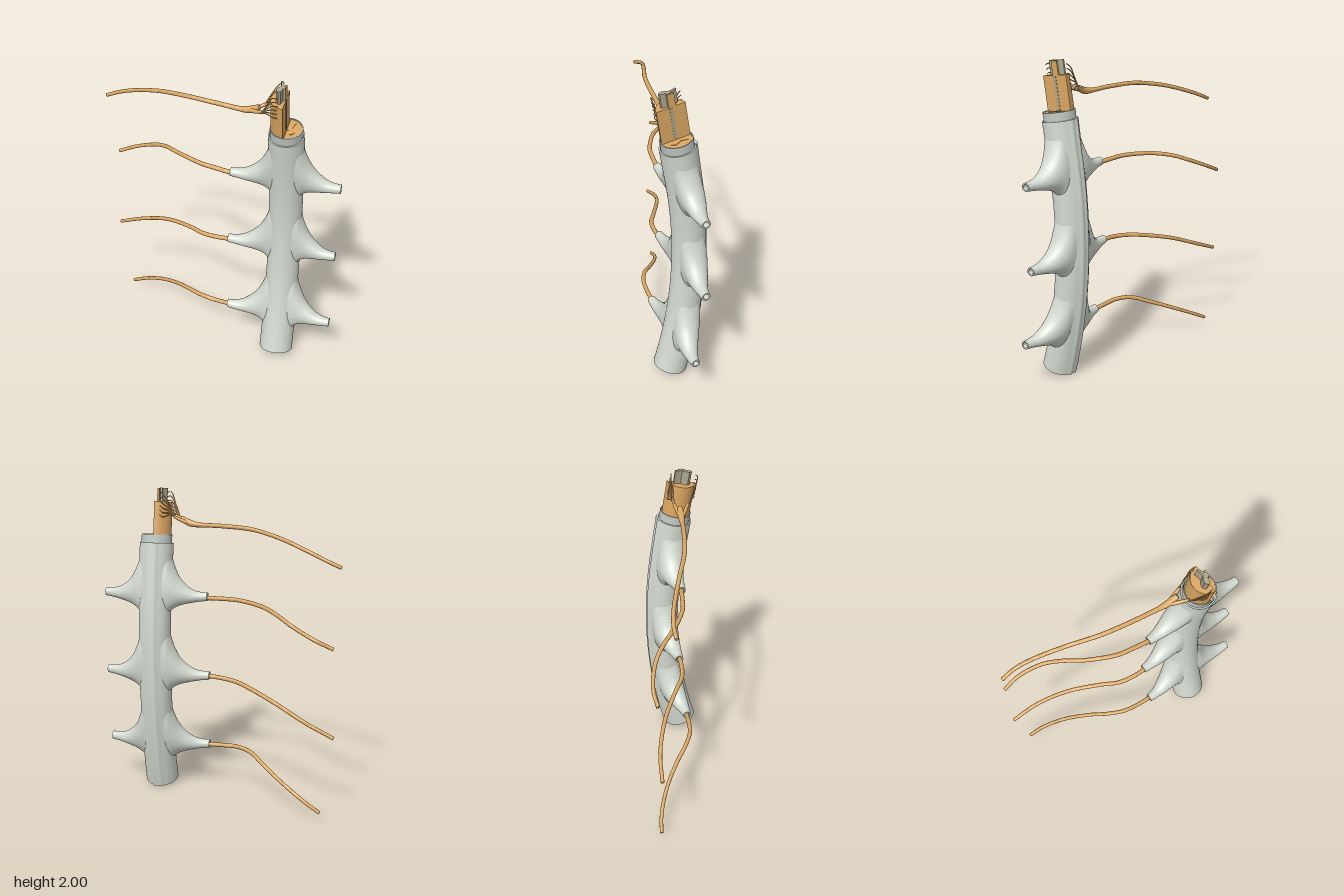
import * as THREE from 'three';
import { mergeGeometries, toCreasedNormals } from 'three/addons/utils/BufferGeometryUtils.js';

const V2 = (x, y) => new THREE.Vector2(x, y);
const V3 = (x, y, z) => new THREE.Vector3(x, y, z);
const mat = (name, color) => Object.assign(new THREE.MeshStandardMaterial({ color, side: THREE.DoubleSide }), { name });

const CX = 0.435; // x of the cord axis

// Gently bowed axis: depth and slope at height y
const axisZ = y => (y < 1.4 ? 0.025 + 0.158 * (y - 0.9) ** 2 : 0.0645 + 0.158 * (y - 1.4));
const slope = y => (y < 1.4 ? 0.316 * (y - 0.9) : 0.158);
function onAxis(y, u, v) {
  const m = slope(y), l = Math.hypot(1, m);
  return V3(CX + u, y - (m * v) / l, axisZ(y) + v / l);
}

// Sweep a 2D outline through n + 1 stations, optionally closing the ends
function loft(outline, n, place, caps = true) {
  const k = outline.length, pos = [], idx = [];
  for (let i = 0; i <= n; i++) for (const p of outline) pos.push(...place(i, p).toArray());
  for (let i = 0; i < n; i++) {
    for (let j = 0; j < k; j++) {
      const a = i * k + j, b = i * k + ((j + 1) % k), c = a + k, d = b + k;
      idx.push(a, c, b, b, c, d);
    }
  }
  if (caps) {
    for (const [a, b, c] of THREE.ShapeUtils.triangulateShape(outline, [])) {
      idx.push(a, b, c, n * k + a, n * k + c, n * k + b);
    }
  }
  const g = new THREE.BufferGeometry();
  g.setAttribute('position', new THREE.Float32BufferAttribute(pos, 3));
  g.setIndex(idx);
  return toCreasedNormals(g, 0.7);
}

const arc = (r, a0, a1, n, closed) => Array.from({ length: closed ? n : n + 1 }, (_, i) => {
  const a = a0 + ((a1 - a0) * i) / n;
  return V2(r * Math.cos(a), r * Math.sin(a));
});
const circle = n => arc(1, 0, Math.PI * 2, n, true);

// Prism following the axis between two heights
const column = (outline, y0, y1, n) => loft(outline, n, (i, p) => onAxis(y0 + ((y1 - y0) * i) / n, p.x, p.y));

// Hollow tube following the axis, with a twin ridge down its back
function sleeve(y0, y1, radius, wall, ridge) {
  const n = 40;
  const outline = arc(1, 0, Math.PI * 2, 72, true);
  const bump = p => {
    const a = Math.atan2(p.x, -p.y);
    return ridge * (Math.exp(-(((a - 0.2) / 0.13) ** 2)) + Math.exp(-(((a + 0.2) / 0.13) ** 2)));
  };
  return loft(outline, 2 * n + 1, (i, p) => {
    const inner = i > n;
    const t = (inner ? 2 * n + 1 - i : i) / n;
    const r = radius(t) + (inner ? -wall : bump(p));
    return onAxis(y0 + (y1 - y0) * t, p.x * r, p.y * r);
  }, false);
}

// Smooth strand along a path, with a radius rule
function strand(points, radius, n = 48, sides = 12) {
  const curve = new THREE.CatmullRomCurve3(points.map(p => V3(...p)));
  const { normals, binormals } = curve.computeFrenetFrames(n, false);
  return loft(circle(sides), n, (i, p) => {
    const r = typeof radius === 'function' ? radius(i / n) : radius;
    return curve.getPointAt(i / n).addScaledVector(binormals[i], p.x * r).addScaledVector(normals[i], p.y * r);
  });
}

// Flared side branch of the sheath, ending in an open cuff
const flareEdge = new THREE.CatmullRomCurve3([ // distance out, lower edge, upper edge
  V3(0.06, -0.16, 0.37), V3(0.09, -0.12, 0.285), V3(0.115, -0.088, 0.2), V3(0.165, -0.06, 0.103),
  V3(0.24, -0.042, 0.042), V3(0.29, -0.033, 0.029), V3(0.34, -0.027, 0.027)]);
const flareDepth = new THREE.CatmullRomCurve3([0.086, 0.083, 0.079, 0.067, 0.046, 0.034, 0.027].map(d => V3(d, 0, 0)));
function flare(side, y, tipZ, reach) {
  const n = 30;
  return loft(circle(32), n + 2, (i, p) => {
    const t = Math.min(i / n, 1);
    const e = flareEdge.getPoint(t);
    const wall = i > n ? 0.009 : 0;
    const d = e.x * (reach / 0.34) - (i === n + 2 ? 0.06 : 0);
    const py = y + (e.y + e.z) / 2 + ((e.z - e.y) / 2 - wall) * p.y;
    const k = THREE.MathUtils.smoothstep(e.x, 0.06, 0.34);
    const zc = THREE.MathUtils.lerp(axisZ(py), tipZ, k);
    return V3(CX + side * d, py, zc + side * p.x * (flareDepth.getPoint(t).x - wall));
  }, false);
}

export function createModel() {
  const group = new THREE.Group();
  const sheathMat = mat('pale sheath', 0xd3dad0);
  const liningMat = mat('grey lining', 0xc0c7c1);
  const nerveMat = mat('tan nerve', 0xd9a560);
  const coreMat = mat('grey core', 0xaaa48c);
  const add = (name, geometry, material) => {
    const mesh = new THREE.Mesh(geometry, material);
    mesh.name = name;
    group.add(mesh);
  };

  // Outer sheath and the inner lining showing above it
  add('sheath', sleeve(0.03, 1.65, t => 0.103 + 0.02 * (t - 0.5) ** 2, 0.009, 0.009), sheathMat);
  add('lining', sleeve(0.034, 1.702, () => 0.097, 0.006, 0), liningMat);

  // Side branches: height, tip depth, reach
  for (const [y, z, reach] of [[1.32, 0.08, 0.34], [0.8, 0.065, 0.335], [0.305, 0.125, 0.34]]) {
    add('leftBranch', flare(1, y, z, reach), sheathMat);
    add('rightBranch', flare(-1, y, z, reach + (y === 0.8 ? 0.02 : 0)), sheathMat);
  }

  // Two halves of the cord, the right one cut higher
  const R = 0.089, H = Math.PI / 2;
  const half = side => arc(R, side > 0 ? -H : H, side > 0 ? H : 3 * H, 28, false).map(p => V2(p.x + side * 0.003, p.y));
  add('rightCord', column(half(-1), 0.04, 1.905, 44), nerveMat);
  add('leftCord', column(half(1), 0.04, 1.698, 44), nerveMat);

  // Horned core, standing out of the right half and flush in the cut faces
  const horn = side => {
    const pts = [[0.005, 0.012], [0.018, 0.014], [0.024, 0.046], [0.038, 0.05], [0.053, 0.032], [0.047, 0.008],
      [0.033, -0.008], [0.037, -0.035], [0.045, -0.055], [0.032, -0.056], [0.02, -0.028], [0.015, -0.012], [0.005, -0.01]];
    const out = pts.map(([x, y]) => V2(side * x, y));
    return side < 0 ? out : out.reverse();
  };
  add('core', column(horn(-1), 1.9, 1.99, 4), coreMat);
  add('leftCoreFace', column(horn(1), 1.695, 1.701, 1), nerveMat);
  for (const s of [-1, 1]) add('bottomCoreFace', column(horn(s), 0.037, 0.042, 1), nerveMat);
  const strip = (x0, x1, y0, y1) => [V2(x0, y0), V2(x1, y0), V2(x1, y1), V2(x0, y1)];
  add('coreBridge', column(strip(-0.005, -0.001, -0.01, 0.01), 1.7, 1.9, 6), coreMat);
  add('cordSliver', column(strip(-0.014, -0.003, -0.03, 0.012), 1.9, 1.985, 3), nerveMat);

  // Long side nerves
  const taper = t => 0.0145 - 0.003 * t;
  const nerves = [
    [[0.13, 1.31, 0.085], [0, 1.316, 0.065], [-0.1, 1.318, 0.045], [-0.2, 1.315, 0], [-0.3, 1.305, -0.06],
      [-0.4, 1.28, -0.14], [-0.5, 1.236, -0.205], [-0.65, 1.168, -0.248], [-0.76, 1.12, -0.242]],
    [[0.12, 0.798, 0.07], [0, 0.79, 0.065], [-0.1, 0.78, 0.04], [-0.2, 0.765, -0.02], [-0.4, 0.71, -0.13],
      [-0.6, 0.625, -0.2], [-0.775, 0.55, -0.222]],
    [[0.13, 0.3, 0.125], [0, 0.305, 0.118], [-0.1, 0.31, 0.1], [-0.2, 0.3, 0.05], [-0.3, 0.255, -0.03],
      [-0.45, 0.18, -0.13], [-0.6, 0.1, -0.195], [-0.7, 0.045, -0.215]],
  ];
  for (const path of nerves) add('sideNerve', strand(path, taper), nerveMat);

  // Uppermost nerve with its swelling
  add('topNerve', strand([[0.27, 1.81, 0.105], [0.2, 1.78, 0.1], [0, 1.777, 0.072], [-0.2, 1.77, 0.03], [-0.4, 1.732, -0.045],
    [-0.6, 1.665, -0.118], [-0.7, 1.625, -0.14], [-0.78, 1.592, -0.14]],
  t => taper(t) + 0.007 * Math.exp(-(((t - 0.05) / 0.05) ** 2))), nerveMat);

  // Back and front roots, each fanning into fine threads
  for (const [name, z, endZ, midY] of [['backRoot', 0.075, -0.078, 1.825], ['frontRoot', 0.165, 0.08, 1.815]]) {
    add(name, strand([[0.2, 1.782, 0.1], [0.25, 1.795, (z + 0.1) / 2], [0.31, midY, z]], t => 0.015 - 0.006 * t, 12), nerveMat);
    const threads = [];
    for (let i = 0; i < 6; i++) {
      const y = 1.83 + i * 0.027;
      const end = onAxis(y, -0.032, endZ);
      threads.push(strand([[0.295, midY - 0.006, z], [0.335, midY + 0.01 + i * 0.012, z + (end.z - z) * 0.6],
        [0.375, y - 0.008, end.z + Math.sign(endZ) * 0.006], end.toArray()], 0.0032, 14, 6));
    }
    add(name + 'Threads', mergeGeometries(threads), nerveMat);
  }
  return group;
}
